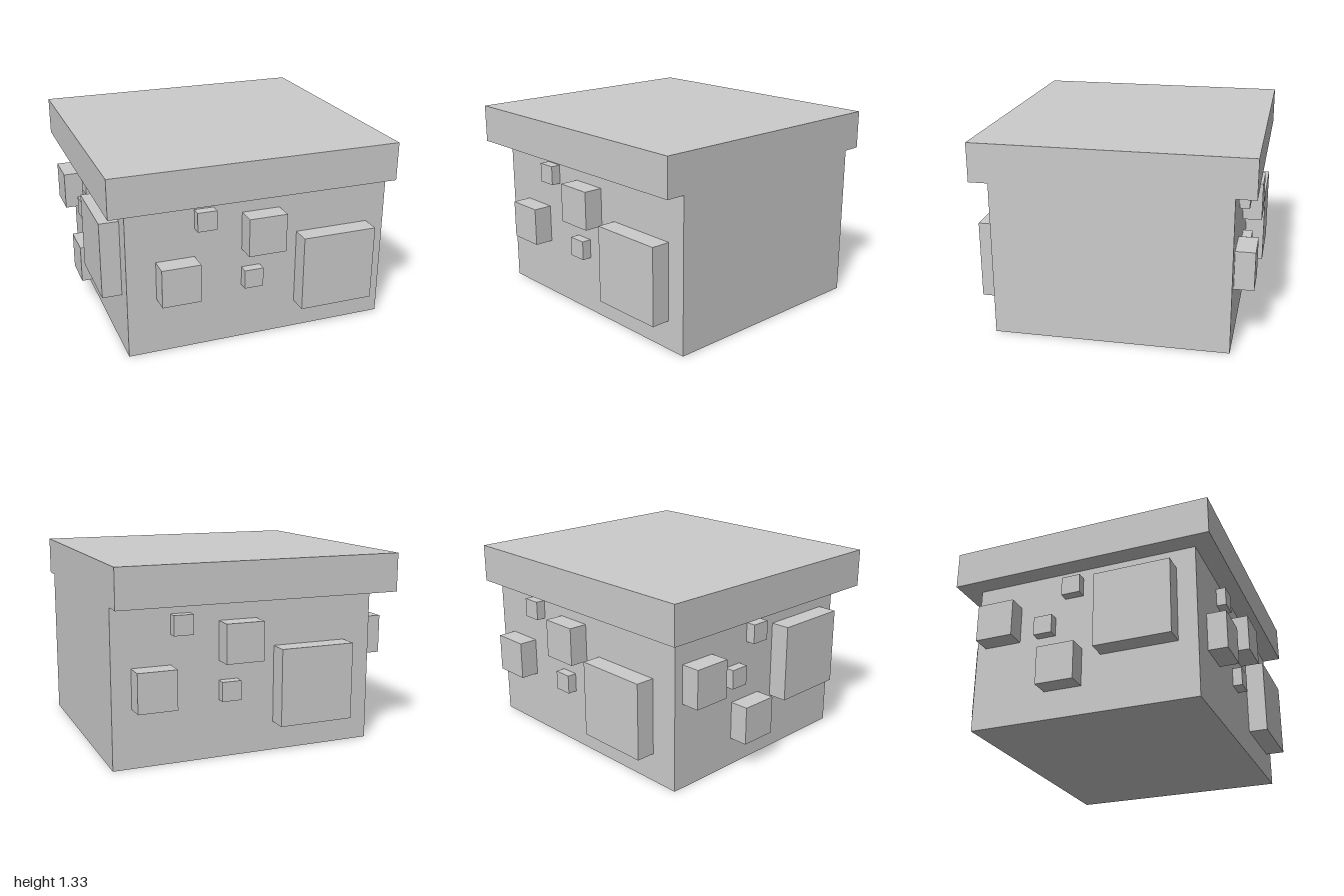
import * as THREE from 'three';

const U = 1 / 15; // all parts sit on a grid of this size

export function createModel() {
  const model = new THREE.Group();
  const material = new THREE.MeshStandardMaterial({ color: 0xcccccc, flatShading: true });

  // Box given by its min and max corners in grid units
  function box(name, [x0, y0, z0], [x1, y1, z1]) {
    const geometry = new THREE.BoxGeometry((x1 - x0) * U, (y1 - y0) * U, (z1 - z0) * U);
    const mesh = new THREE.Mesh(geometry, material);
    mesh.name = name;
    mesh.position.set((x0 + x1) * U / 2, (y0 + y1) * U / 2, (z0 + z1) * U / 2);
    model.add(mesh);
  }

  // Main block and the overhanging lid, flush on the +x side
  box('body', [-13, 0, -12], [15, 16, 12]);
  box('lid', [-15, 16, -14], [15, 20, 14]);

  // Raised square blocks: [start along wall, bottom, size, depth]
  const frontBlocks = [
    [-10, 6, 4, 2],
    [-6, 13, 2, 1],
    [-1, 10, 4, 2],
    [-1, 6, 2, 1],
    [5, 3, 8, 2],
  ];
  for (const [x, y, s, d] of frontBlocks) {
    box('frontBlock', [x, y, 12], [x + s, y + s, 12 + d]);
    // The back repeats the front, turned about x = 1.5
    box('backBlock', [3 - x - s, y, -12 - d], [3 - x, y + s, -12]);
  }

  // Blocks on the -x wall
  const sideBlocks = [
    [-11, 9, 4, 2],
    [-5, 9, 2, 1],
    [-4, 3, 4, 2],
    [-2, 13, 2, 1],
    [2, 6, 8, 2],
  ];
  for (const [z, y, s, d] of sideBlocks) {
    box('sideBlock', [-13 - d, y, z], [-13, y + s, z + s]);
  }

  return model;
}
